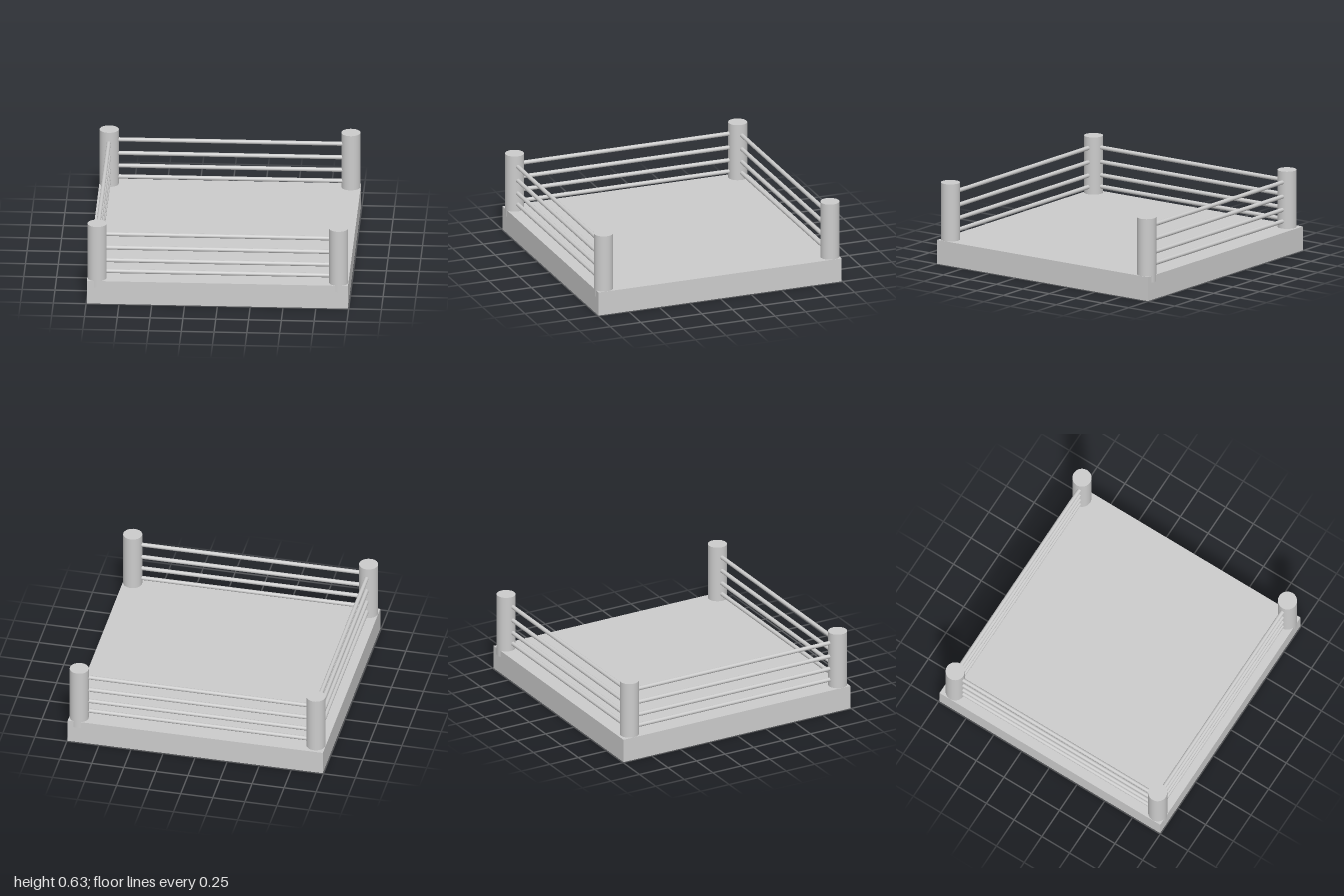
import * as THREE from 'three';

const POST_RADIUS = 0.073, POST_BOTTOM = 0.135, POST_TOP = 0.635;
const ROPE_RADIUS = 0.016, ROPE_HEIGHTS = [0.243, 0.333, 0.437, 0.549];

export function createModel() {
  const model = new THREE.Group();
  model.name = 'ropedRing';
  const material = new THREE.MeshStandardMaterial({ color: 0xcccccc });

  const add = (name, geometry, x, y, z) => {
    const mesh = new THREE.Mesh(geometry, material);
    mesh.name = name;
    mesh.position.set(x, y, z);
    model.add(mesh);
    return mesh;
  };

  // Square floor slab
  add('platform', new THREE.BoxGeometry(1.99, 0.187, 1.99), 0, 0.0935, 0.001);

  // Corner posts, sunk into the slab; the back right one stands slightly further in
  const postHeight = POST_TOP - POST_BOTTOM;
  const postGeometry = new THREE.CylinderGeometry(POST_RADIUS, POST_RADIUS, postHeight, 40);
  const posts = {
    frontLeftPost: [0.92, 0.926],
    frontRightPost: [-0.92, 0.926],
    backLeftPost: [0.92, -0.927],
    backRightPost: [-0.92, -0.9],
  };
  for (const [name, [x, z]] of Object.entries(posts)) {
    add(name, postGeometry, x, POST_BOTTOM + postHeight / 2, z);
  }

  // Four ropes on the front, back and right; the left side is open
  const ropeGeometry = new THREE.CylinderGeometry(ROPE_RADIUS, ROPE_RADIUS, 1.82, 20);
  for (const y of ROPE_HEIGHTS) {
    add('frontRope', ropeGeometry, 0, y, 0.926).rotation.z = Math.PI / 2;
    add('backRope', ropeGeometry, 0, y, -0.907).rotation.z = Math.PI / 2;
    add('rightRope', ropeGeometry, -0.92, y, 0.013).rotation.x = Math.PI / 2;
  }

  return model;
}
